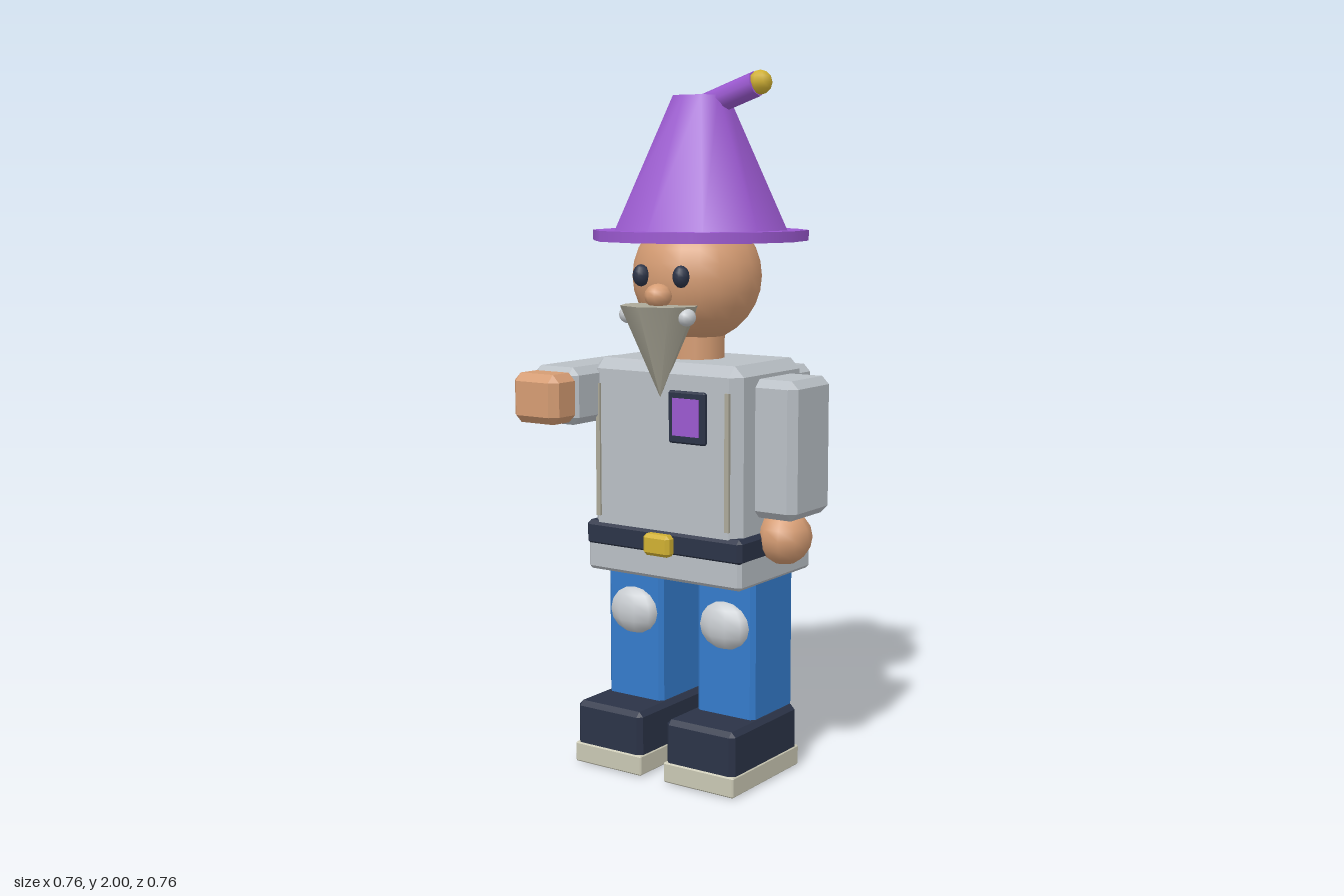
import * as THREE from 'three';
import { ConvexGeometry } from 'three/addons/geometries/ConvexGeometry.js';

const makeMaterial = (name, color) => {
  const m = new THREE.MeshStandardMaterial({ color });
  m.name = name;
  return m;
};

// Box with flat chamfered edges, as the hull of its 24 corner points
function chamferBox(w, h, d, b) {
  const points = [];
  for (const sx of [-1, 1]) for (const sy of [-1, 1]) for (const sz of [-1, 1]) {
    for (let axis = 0; axis < 3; axis++) {
      const inset = [b, b, b];
      inset[axis] = 0;
      points.push(new THREE.Vector3(
        sx * (w / 2 - inset[0]), sy * (h / 2 - inset[1]), sz * (d / 2 - inset[2])));
    }
  }
  return new ConvexGeometry(points);
}

export function createModel() {
  const model = new THREE.Group();
  model.name = 'gardenFigure';

  const purple = makeMaterial('purple felt', 0x9b59d0);
  const skin = makeMaterial('skin', 0xd59c73);
  const grey = makeMaterial('grey cloth', 0xb9bfc5);
  const blue = makeMaterial('blue trousers', 0x347bcb);
  const navy = makeMaterial('dark navy', 0x2b3347);
  const cream = makeMaterial('cream rubber', 0xc9c7b3);
  const gold = makeMaterial('gold', 0xd0b032);
  const beardGrey = makeMaterial('beard grey', 0xaca999);
  const pale = makeMaterial('pale grey', 0xc9cdd1);

  const add = (name, geometry, material, x = 0, y = 0, z = 0) => {
    const mesh = new THREE.Mesh(geometry, material);
    mesh.name = name;
    mesh.position.set(x, y, z);
    model.add(mesh);
    return mesh;
  };
  // Box given by its extents on each axis
  const box = (name, material, [x0, x1], [y0, y1], [z0, z1], bevel) =>
    add(name, chamferBox(x1 - x0, y1 - y0, z1 - z0, bevel), material,
      (x0 + x1) / 2, (y0 + y1) / 2, (z0 + z1) / 2);
  const ball = (name, material, [x, y, z], [rx, ry, rz], w = 10, h = 8) =>
    add(name, new THREE.SphereGeometry(1, w, h).scale(rx, ry, rz), material, x, y, z);

  // Torso, hem and belt
  box('torso', grey, [-0.255, 0.255], [0.6, 1.197], [-0.175, 0.175], 0.03);
  box('hem', grey, [-0.266, 0.266], [0.577, 0.7], [-0.197, 0.178], 0.01);
  box('belt', navy, [-0.269, 0.269], [0.648, 0.722], [-0.17, 0.183], 0.012);
  box('buckle', gold, [-0.045, 0.045], [0.65, 0.712], [0.17, 0.212], 0.01);

  // Chest badge and seams
  box('badgeFrame', navy, [0.03, 0.153], [0.975, 1.122], [0.165, 0.188], 0.005);
  add('badgePanel', new THREE.BoxGeometry(0.088, 0.105, 0.008), purple, 0.0915, 1.05, 0.188);
  for (const s of [-1, 1]) {
    add('seam', new THREE.BoxGeometry(0.014, 0.385, 0.009), beardGrey, s * 0.222, 0.932, 0.177);
  }

  // Backpack
  box('backpack', grey, [-0.162, 0.162], [0.785, 1.155], [-0.382, -0.17], 0.022);

  // Lowered left arm and raised right arm
  box('leftArm', grey, [0.22, 0.38], [0.768, 1.157], [-0.12, 0.088], 0.022);
  ball('leftHand', skin, [0.302, 0.708, 0.005], [0.078, 0.078, 0.08]);
  box('rightArm', grey, [-0.38, -0.22], [1.012, 1.176], [-0.097, 0.29], 0.022);
  box('rightHand', skin, [-0.38, -0.22], [1.022, 1.163], [0.265, 0.379], 0.022);

  // Legs, knee pads and shoes
  for (const s of [-1, 1]) {
    const x = s * 0.159;
    box('leg', blue, [x - 0.098, x + 0.098], [0.15, 0.62], [-0.118, 0.094], 0.012);
    ball('kneePad', pale, [x, 0.45, 0.09], [0.085, 0.07, 0.046]);
    box('shoe', navy, [x - 0.116, x + 0.116], [0, 0.187], [-0.115, 0.225], 0.014);
    box('sole', cream, [x - 0.119, x + 0.119], [0.003, 0.062], [-0.12, 0.229], 0.004);
  }

  // Head and neck
  add('neck', new THREE.CylinderGeometry(0.079, 0.079, 0.14, 12), skin, 0, 1.23, 0);
  ball('head', skin, [0, 1.43, 0], [0.187, 0.187, 0.18], 20, 14);
  ball('nose', skin, [0, 1.383, 0.19], [0.039, 0.034, 0.038]);
  for (const s of [-1, 1]) {
    ball('eye', navy, [s * 0.068, 1.437, 0.177], [0.024, 0.031, 0.023]);
    ball('moustacheCurl', pale, [s * 0.1, 1.328, 0.195], [0.025, 0.025, 0.027]);
  }

  // Pointed beard, tip down
  const beard = new THREE.ConeGeometry(0.117, 0.257, 8);
  beard.rotateX(Math.PI).scale(1, 1, 0.89);
  add('beard', beard, beardGrey, 0, 1.2285, 0.182);

  // Hat: brim, cone, bent tip and bobble
  add('hatBrim', new THREE.CylinderGeometry(0.308, 0.308, 0.03, 12), purple, 0, 1.545, -0.016);
  add('hatCone', new THREE.CylinderGeometry(0.082, 0.257, 0.38, 10), purple, 0, 1.745, -0.016);
  const from = new THREE.Vector3(-0.005, 1.898, -0.016);
  const to = new THREE.Vector3(0.188, 1.962, -0.016);
  const tip = add('hatTip', new THREE.CylinderGeometry(0.036, 0.036, from.distanceTo(to), 8), purple);
  tip.position.copy(from).lerp(to, 0.5);
  tip.quaternion.setFromUnitVectors(new THREE.Vector3(0, 1, 0), to.clone().sub(from).normalize());
  ball('hatBobble', gold, [0.2, 1.966, -0.016], [0.034, 0.034, 0.034], 8, 6);

  return model;
}
